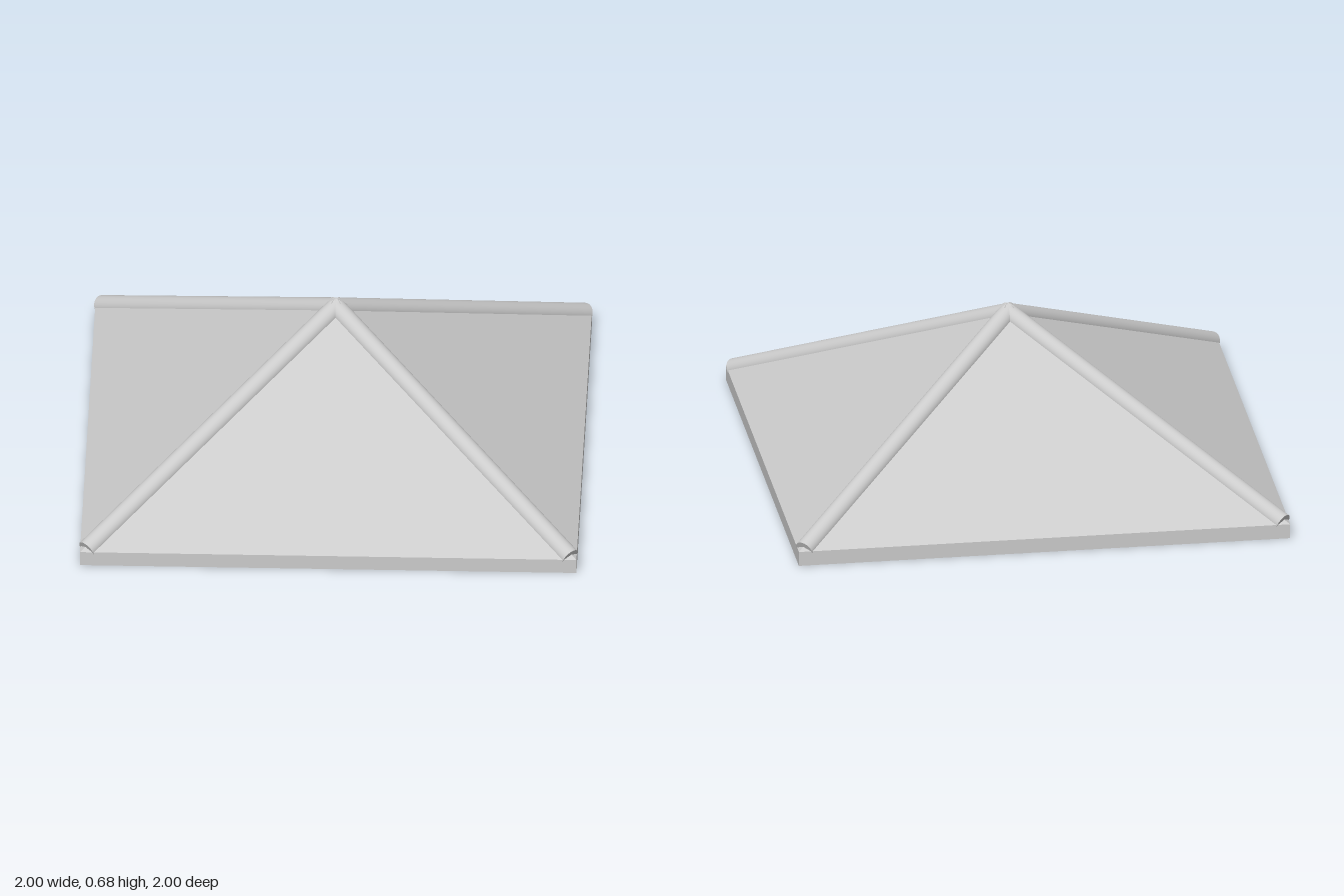
import * as THREE from 'three';

const HALF = 0.995;       // half width of the square eaves
const THICK = 0.06;       // vertical thickness of the roof shell
const RISE = 0.59;        // height from eave to apex
const RADIUS = 0.04;      // hip cap radius

// One side of the roof shell: outer slope, fascia and underside
function panelGeometry() {
  const a = [-HALF, 0, HALF], b = [HALF, 0, HALF];
  const c = [HALF, THICK, HALF], d = [-HALF, THICK, HALF];
  const top = [0, RISE + THICK, 0], under = [0, RISE, 0];
  const triangles = [d, c, top, a, b, c, a, c, d, b, a, under];
  const geometry = new THREE.BufferGeometry();
  geometry.setAttribute('position', new THREE.Float32BufferAttribute(triangles.flat(), 3));
  geometry.computeVertexNormals();
  return geometry;
}

// Round cap running down one hip, from the apex to a corner
function hipCapGeometry() {
  const start = new THREE.Vector3(0, 0.632, 0);
  const end = new THREE.Vector3(0.969, 0.056, 0.969);
  const dir = end.clone().sub(start).normalize();
  // extend past the apex so the tops of the four caps meet in a point
  const drop = -dir.y / Math.hypot(dir.x, dir.z);
  start.addScaledVector(dir, -RADIUS * drop);
  const geometry = new THREE.CylinderGeometry(RADIUS, RADIUS, start.distanceTo(end), 32);
  geometry.applyQuaternion(new THREE.Quaternion().setFromUnitVectors(new THREE.Vector3(0, 1, 0), dir));
  const mid = start.add(end).multiplyScalar(0.5);
  return geometry.translate(mid.x, mid.y, mid.z);
}

export function createModel() {
  const group = new THREE.Group();
  group.name = 'pyramidRoof';
  const material = new THREE.MeshStandardMaterial({ color: 0xcccccc });
  const parts = { roofPanel: panelGeometry(), hipCap: hipCapGeometry() };

  // Four panels and four hip caps, turned about the apex
  for (const [name, geometry] of Object.entries(parts)) {
    for (let i = 0; i < 4; i++) {
      const mesh = new THREE.Mesh(geometry, material);
      mesh.name = `${name}${i + 1}`;
      mesh.rotation.y = (i * Math.PI) / 2;
      group.add(mesh);
    }
  }
  return group;
}
